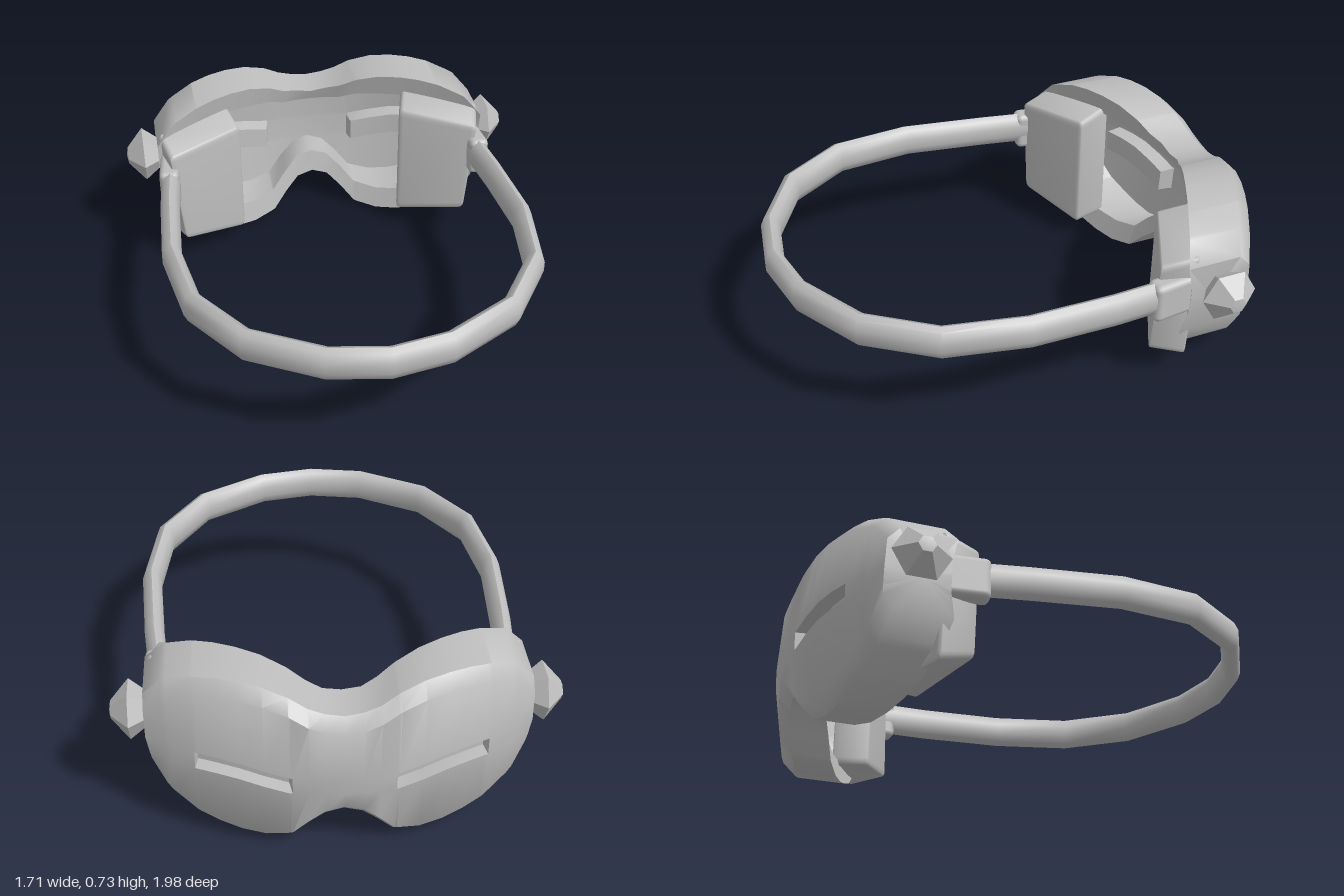
import * as THREE from 'three';
import { toCreasedNormals } from 'three/addons/utils/BufferGeometryUtils.js';
import { RoundedBoxGeometry } from 'three/addons/geometries/RoundedBoxGeometry.js';

const lerp = THREE.MathUtils.lerp;

// Skin a row of closed rings (counter-clockwise about the travel direction) and cap both ends
function loft(rings, crease) {
  const pos = [], n = rings[0].length;
  const tri = (a, b, c) => pos.push(...a.toArray(), ...b.toArray(), ...c.toArray());
  for (let i = 0; i < rings.length - 1; i++) {
    for (let j = 0; j < n; j++) {
      const k = (j + 1) % n;
      const a = rings[i][j], b = rings[i + 1][j], c = rings[i + 1][k], d = rings[i][k];
      tri(a, d, b);
      tri(b, d, c);
    }
  }
  [rings[0], rings[rings.length - 1]].forEach((ring, end) => {
    const mid = ring.reduce((s, p) => s.add(p), new THREE.Vector3()).divideScalar(n);
    ring.forEach((p, j) => {
      const q = ring[(j + 1) % n];
      if (end) tri(mid, p, q); else tri(mid, q, p);
    });
  });
  const g = new THREE.BufferGeometry();
  g.setAttribute('position', new THREE.Float32BufferAttribute(pos, 3));
  return toCreasedNormals(g, crease);
}

// Half outline of the mask: x, bottom y, top y
const OUTLINE = [
  [0, 0.195, 0.63], [0.07, 0.17, 0.64], [0.13, 0.11, 0.66], [0.19, 0.035, 0.695], [0.2, 0.03, 0.7],
  [0.29, 0.01, 0.73], [0.38, 0.02, 0.74], [0.46, 0.045, 0.738], [0.53, 0.075, 0.727], [0.54, 0.08, 0.725],
  [0.63, 0.16, 0.69], [0.65, 0.185, 0.68], [0.72, 0.28, 0.6],
];

// One vertical cross-section of the hollow mask, with the eye slot sunk into its front plate
function maskRing([x, bottom, top], sign) {
  const front = (y) => -0.99 + 0.44 * x * x + 0.35 * (y - 0.42) ** 2;
  const back = -0.8 + 0.45 * Math.max(0, x - 0.07);
  const t = (x - 0.2) / 0.34;
  const slotLow = 0.31 + 0.05 * Math.min(1, Math.max(0, t * 1.6));
  const slotHigh = slotLow + 0.075;
  const sunk = x > 0.195 && x < 0.535 ? 0.06 : 0;
  const hollow = x < 0.64;
  const rimLow = bottom + 0.1, rimHigh = top - lerp(0.05, 0.1, Math.min(1, x / 0.3));
  const inner = (y, extra = 0) => [y, hollow ? front(y) + 0.05 + extra : back];
  const ring = [
    [bottom, back + 0.02], [bottom, front(bottom) + 0.04], [bottom + 0.05, front(bottom + 0.05)],
    [slotLow, front(slotLow)], [slotLow, front(slotLow) + sunk],
    [slotHigh, front(slotHigh) + sunk], [slotHigh, front(slotHigh)],
    [top - 0.05, front(top - 0.05)], [top, front(top) + 0.04], [top, back + 0.02],
    [rimHigh, back], inner(rimHigh),
    inner(slotHigh + 0.02), inner(slotHigh + 0.01, sunk), inner(slotLow - 0.01, sunk), inner(slotLow - 0.02),
    inner(rimLow), [rimLow, back],
  ].map(([y, z]) => {
    const taper = x > 0.7 ? 0.2 * Math.max(0, 0.42 - y) : 0;
    return new THREE.Vector3(sign * (x - taper), y, z);
  });
  return ring;
}

function maskGeometry() {
  const leftHalf = OUTLINE.map((o) => maskRing(o, 1));
  const rightHalf = OUTLINE.slice(1).reverse().map((o) => maskRing(o, -1));
  return loft([...rightHalf, ...leftHalf], 0.75);
}

// Head strap: a flattened oval swept round a faceted path
function strapGeometry() {
  const half = [[0.67, 0.465, -0.48], [0.7, 0.48, -0.19], [0.72, 0.503, 0.17], [0.67, 0.518, 0.5], [0.5, 0.527, 0.755], [0.23, 0.53, 0.91]];
  const path = [
    ...half.map((p) => new THREE.Vector3(...p)),
    new THREE.Vector3(0, 0.53, 0.95),
    ...half.slice().reverse().map(([x, y, z]) => new THREE.Vector3(-x, y, z)),
  ];
  const rings = path.map((p, i) => {
    const a = path[Math.max(0, i - 1)], b = path[Math.min(path.length - 1, i + 1)];
    const dir = b.clone().sub(a).setY(0).normalize();
    const side = new THREE.Vector3(dir.z, 0, -dir.x);
    return Array.from({ length: 10 }, (_, k) => {
      const ang = (k / 10) * Math.PI * 2 + Math.PI / 10;
      return p.clone().addScaledVector(side, 0.041 * Math.cos(ang)).add(new THREE.Vector3(0, 0.072 * Math.sin(ang), 0));
    });
  });
  return loft(rings, 0.75);
}

// Side pad: a rounded block warped into a tapering slab that leans round the face
function padGeometry() {
  const g = new RoundedBoxGeometry(1, 1, 1, 2, 0.06);
  const p = g.attributes.position;
  for (let i = 0; i < p.count; i++) {
    const u = p.getX(i) + 0.5, v = p.getY(i) + 0.5, d = 0.5 - p.getZ(i);
    const x = lerp(0.355, lerp(0.635, 0.675, v), u) + 0.04 * d;
    const low = lerp(0.1, 0.17, u) - 0.05 * d * u;
    const high = lerp(0.635, 0.6, u) + 0.035 * d;
    const z = lerp(-0.53, -0.385, u) - 0.15 * d;
    p.setXYZ(i, x, lerp(low, high, v), z);
  }
  g.deleteAttribute('normal');
  return toCreasedNormals(g, 0.6);
}

// Side knob: a six-sided faceted stud pointing outwards
function knobGeometry() {
  const profile = [[0, -0.1], [0.055, -0.08], [0.115, 0], [0.035, 0.07], [0, 0.075]].map(([r, y]) => new THREE.Vector2(r, y));
  const g = new THREE.LatheGeometry(profile, 6);
  g.rotateZ(-Math.PI / 2);
  g.deleteAttribute('normal');
  return toCreasedNormals(g, 0.5);
}

export function createModel() {
  const grey = new THREE.MeshStandardMaterial({ color: 0xbebebe });
  grey.name = 'plain grey';
  const model = new THREE.Group();
  model.name = 'goggles';
  const add = (parent, name, geometry) => {
    const mesh = new THREE.Mesh(geometry, grey);
    mesh.name = name;
    parent.add(mesh);
    return mesh;
  };

  add(model, 'mask', maskGeometry());
  add(model, 'strap', strapGeometry());

  // Parts repeated on both sides
  const pad = padGeometry(), knob = knobGeometry();
  const sleeve = new RoundedBoxGeometry(0.085, 0.17, 0.2, 2, 0.025);
  for (const s of [1, -1]) {
    const side = new THREE.Group();
    side.name = s > 0 ? 'leftSide' : 'rightSide';
    side.scale.x = s;
    add(side, 'pad', pad);
    add(side, 'knob', knob).position.set(0.78, 0.475, -0.64);
    const end = add(side, 'strapSleeve', sleeve);
    end.position.set(0.677, 0.46, -0.45);
    end.rotation.y = 0.12;
    model.add(side);
  }
  return model;
}
